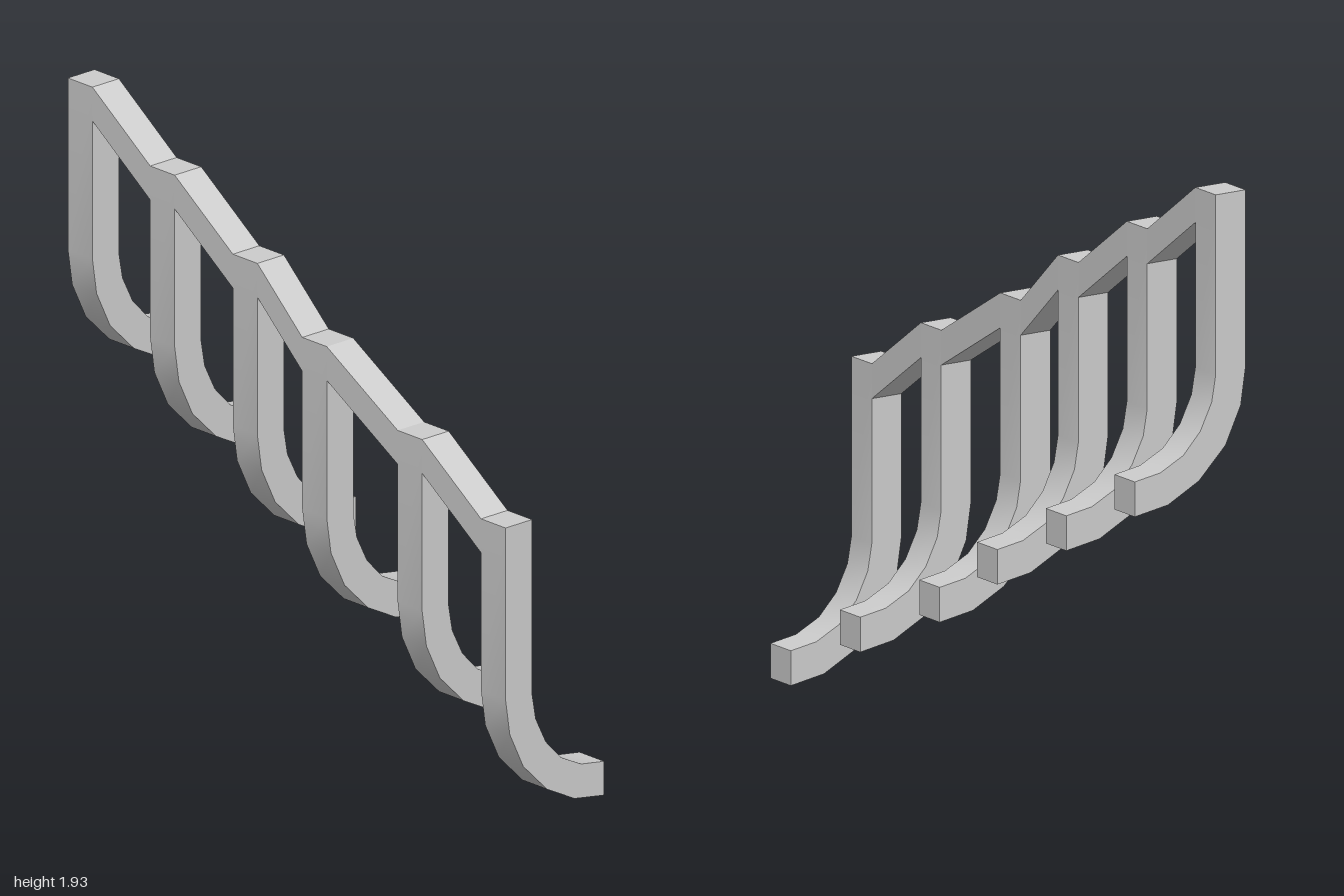
import * as THREE from 'three';
import { toCreasedNormals } from 'three/addons/utils/BufferGeometryUtils.js';

const WIDTH = 0.112; // square bar thickness
const HEIGHT = 0.987; // height of one hook
const FRONT = 0.208; // z of the front face
const STEP = 0.189; // drop from one hook to the next
const hookX = [-0.944, -0.568, -0.19, 0.127, 0.563, 0.944];

// Hook side profile as [z, y], outer edge down, then inner edge back up
const hookProfile = [
  [FRONT, HEIGHT], [FRONT, 0.42], [0.19, 0.3], [0.133, 0.18], [0.033, 0.08], [-0.083, 0.02], [-FRONT, 0],
  [-FRONT, 0.112], [-0.112, 0.127], [-0.026, 0.17], [0.038, 0.238], [0.081, 0.325], [FRONT - WIDTH, 0.41],
  [FRONT - WIDTH, HEIGHT],
];

function extrude(points, depth) {
  const shape = new THREE.Shape(points.map(([x, y]) => new THREE.Vector2(x, y)));
  return new THREE.ExtrudeGeometry(shape, { depth, bevelEnabled: false });
}

export function createModel() {
  const group = new THREE.Group();
  const material = new THREE.MeshStandardMaterial({ color: 0xcccccc });
  const add = (name, geometry) => {
    const mesh = new THREE.Mesh(geometry, material);
    mesh.name = name;
    group.add(mesh);
    return mesh;
  };
  const baseY = (i) => (hookX.length - 1 - i) * STEP;

  // Hooks: profile extruded sideways, smooth along the bend
  const hookShape = extrude(hookProfile.map(([z, y]) => [-z, y]), WIDTH);
  hookShape.rotateY(Math.PI / 2).translate(-WIDTH / 2, 0, 0);
  const hookGeometry = toCreasedNormals(hookShape, 0.6);
  hookX.forEach((x, i) => add(`hook${i + 1}`, hookGeometry).position.set(x, baseY(i), 0));

  // Sloping rails between the tops of neighbouring hooks
  for (let i = 0; i < hookX.length - 1; i++) {
    const x0 = hookX[i] + WIDTH / 2;
    const x1 = hookX[i + 1] - WIDTH / 2;
    const y0 = baseY(i) + HEIGHT;
    const y1 = baseY(i + 1) + HEIGHT;
    const rail = extrude([[x0, y0 - WIDTH], [x1, y1 - WIDTH], [x1, y1], [x0, y0]], WIDTH);
    add(`rail${i + 1}`, rail.translate(0, 0, FRONT - WIDTH));
  }
  return group;
}
